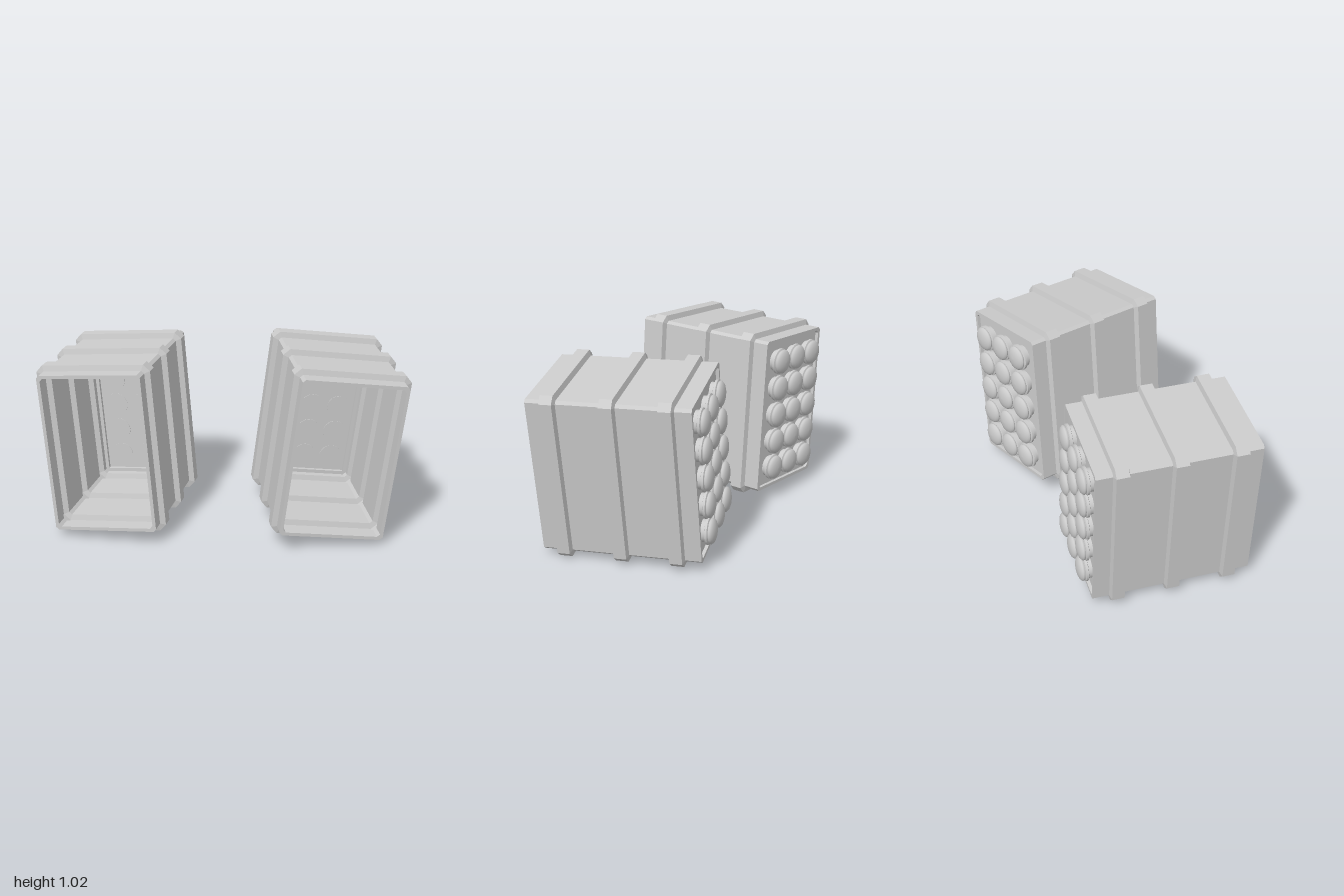
import * as THREE from 'three';

const W = 0.57, H = 0.88, L = 0.86, WALL = 0.018, BAND = 0.03;
const BANDS = [-0.3, 0, 0.31];
const flat = new THREE.MeshStandardMaterial({ color: 0xcccccc, flatShading: true, side: THREE.DoubleSide });
const smooth = new THREE.MeshStandardMaterial({ color: 0xcccccc });

// Rectangle with cut corners, counter-clockwise seen from the front
function section(grow, cut) {
  const x = W / 2 + grow, y = H / 2 + grow;
  return [[x, cut - y], [x, y - cut], [x - cut, y], [cut - x, y],
    [-x, y - cut], [-x, cut - y], [cut - x, -y], [x - cut, -y]];
}

// Open casing: outer skin from back to front, then inner skin back again
function casingGeometry() {
  const profile = [[-L / 2, 0]];
  for (const z of BANDS) {
    profile.push([z - 0.042, 0], [z - 0.034, BAND], [z + 0.034, BAND], [z + 0.042, 0]);
  }
  profile.push([L / 2, 0]);
  const inner = profile.map(([z, g]) => [z, g - WALL]).reverse();
  const rings = [...profile, ...inner, profile[0]];
  const positions = [], index = [];
  for (const [z, g] of rings) {
    for (const [x, y] of section(g, g > 0.005 ? 0.035 : 0.015)) positions.push(x, y, z);
  }
  for (let i = 0; i < rings.length - 1; i++) {
    for (let j = 0; j < 8; j++) {
      const k = (j + 1) % 8;
      const a = i * 8 + j, b = i * 8 + k, c = a + 8, d = b + 8;
      index.push(a, b, d, a, d, c);
    }
  }
  const geo = new THREE.BufferGeometry();
  geo.setAttribute('position', new THREE.Float32BufferAttribute(positions, 3));
  geo.setIndex(index);
  const out = geo.toNonIndexed();
  out.computeVertexNormals();
  return out;
}

// Domed cap with a stepped collar, pointing to the back
function capGeometry() {
  const groups = [
    [[0.06, 0], [0.06, 0.02]],
    [[0.06, 0.02], [0.073, 0.024]],
    [[0.073, 0.024], [0.073, 0.036]],
    [[0.073, 0.036], [0.064, 0.04]],
    [[0.064, 0.04], [0.068, 0.045], [0.068, 0.052], [0.058, 0.062], [0.04, 0.069], [0.02, 0.073], [0, 0.074]],
  ];
  return groups.map(g => new THREE.LatheGeometry(g.map(p => new THREE.Vector2(...p)), 24).rotateX(-Math.PI / 2));
}

function createPod(name) {
  const pod = new THREE.Group();
  pod.name = name;
  const add = (geo, mat, part, parent = pod) => {
    const m = new THREE.Mesh(geo, mat);
    m.name = part;
    parent.add(m);
    return m;
  };
  add(casingGeometry(), flat, 'bandedCasing');

  // Back plate closing the casing, with a raised inner border
  add(new THREE.BoxGeometry(W - 2 * WALL, H - 2 * WALL, 0.012), flat, 'backPlate').position.z = -0.406;
  for (const s of [-1, 1]) {
    add(new THREE.BoxGeometry(W - 2 * WALL, 0.02, 0.025), flat, 'innerBorder')
      .position.set(0, s * (H / 2 - WALL - 0.01), -0.392);
    add(new THREE.BoxGeometry(0.02, H - 2 * WALL, 0.025), flat, 'innerBorder')
      .position.set(s * (W / 2 - WALL - 0.01), 0, -0.392);
  }

  // Three by five tube ends: caps at the back, discs inside
  const capParts = capGeometry();
  const disc = new THREE.CylinderGeometry(0.067, 0.067, 0.004, 24).rotateX(Math.PI / 2);
  for (let col = -1; col <= 1; col++) {
    for (let row = -2; row <= 2; row++) {
      const tube = new THREE.Group();
      tube.name = 'tubeEnd';
      tube.position.set(col * 0.16, row * 0.157, -0.412);
      for (const g of capParts) add(g, smooth, 'domedCap', tube);
      add(disc, smooth, 'innerDisc', tube).position.z = 0.013;
      pod.add(tube);
    }
  }
  return pod;
}

export function createModel() {
  const model = new THREE.Group();
  model.name = 'twinPods';

  // The pods lean outwards and are turned by different amounts
  const rightPod = createPod('rightPod');
  rightPod.position.set(-0.595, 0.503, 0.225);
  rightPod.rotation.set(0, 0.222, 0.0785, 'YXZ');

  const leftPod = createPod('leftPod');
  leftPod.position.set(0.475, 0.514, -0.187);
  leftPod.rotation.set(0.035, 0.594, -0.122, 'YXZ');

  model.add(rightPod, leftPod);
  return model;
}
